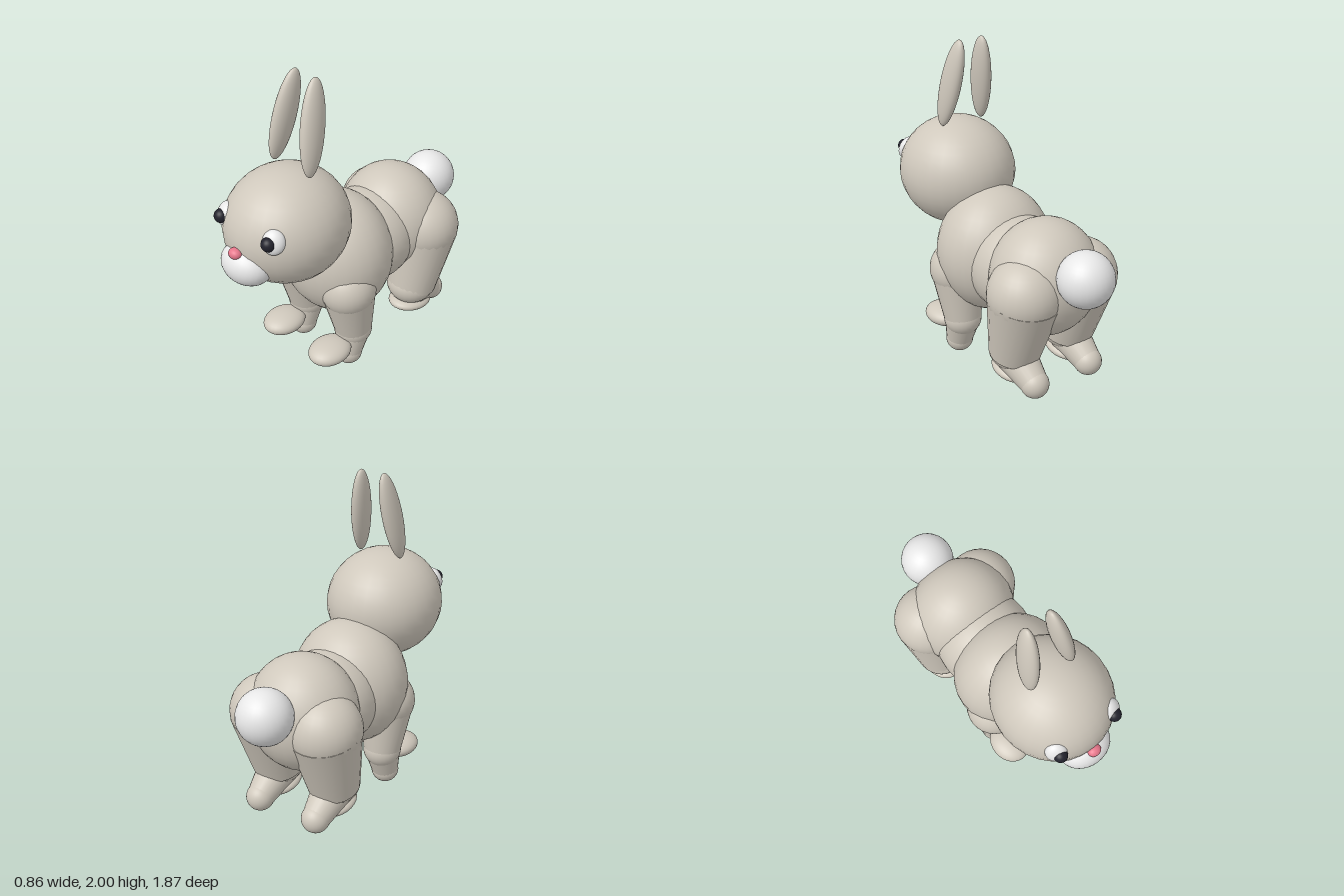
import * as THREE from 'three';

export function createModel() {
  const model = new THREE.Group();
  model.name = 'rabbit';

  const mat = (name, color) => {
    const m = new THREE.MeshStandardMaterial({ color });
    m.name = name;
    return m;
  };
  const fur = mat('greyFur', 0xcfc8bc);
  const white = mat('white', 0xeeeeee);
  const black = mat('black', 0x22222c);
  const pink = mat('pink', 0xe8788c);

  const ball = new THREE.SphereGeometry(1, 28, 20);
  const UP = new THREE.Vector3(0, 1, 0);

  // Ellipsoid from centre, radii and optional turn (yaw after pitch)
  function blob(name, material, pos, radii, rot = [0, 0, 0]) {
    const mesh = new THREE.Mesh(ball, material);
    mesh.name = name;
    mesh.position.set(...pos);
    mesh.scale.set(...radii);
    mesh.rotation.set(...rot, 'YXZ');
    model.add(mesh);
    return mesh;
  }

  // Tapered limb running from point a to point b
  function limb(name, a, ra, b, rb) {
    const start = new THREE.Vector3(...a);
    const end = new THREE.Vector3(...b);
    const dir = end.clone().sub(start);
    const mesh = new THREE.Mesh(new THREE.CylinderGeometry(rb, ra, dir.length(), 24), fur);
    mesh.name = name;
    mesh.position.copy(start).add(end).multiplyScalar(0.5);
    mesh.quaternion.setFromUnitVectors(UP, dir.normalize());
    model.add(mesh);
  }

  // Body
  blob('chest', fur, [0, 0.72, 0.1], [0.37, 0.4, 0.33]);
  blob('belly', fur, [0, 0.705, -0.16], [0.31, 0.305, 0.34]);
  blob('rump', fur, [0, 0.73, -0.4], [0.34, 0.36, 0.32]);
  blob('tail', white, [0, 0.865, -0.765], [0.167, 0.167, 0.167]);

  // Head
  blob('head', fur, [0, 1.12, 0.49], [0.36, 0.345, 0.38]);
  blob('muzzle', white, [0, 0.995, 0.8], [0.165, 0.125, 0.135], [-0.35, 0, 0]);
  blob('nose', pink, [0, 1.1, 0.88], [0.042, 0.032, 0.035]);

  for (const s of [1, -1]) {
    const side = s > 0 ? 'left' : 'right';
    const x = 0.205 * s;

    // Ears lean inwards and back
    const ear = blob(side + 'Ear', fur, [0.11 * s, 1.725, 0.38], [0.05, 0.282, 0.083]);
    ear.quaternion.setFromUnitVectors(UP, new THREE.Vector3(-0.065 * s, 0.55, -0.12).normalize());

    // Eyes
    blob(side + 'Eye', white, [0.2 * s, 1.22, 0.77], [0.065, 0.073, 0.045], [-0.4, 0.6 * s, 0]);
    blob(side + 'Pupil', black, [0.195 * s, 1.22, 0.805], [0.042, 0.042, 0.042]);

    // Front leg
    blob(side + 'Shoulder', fur, [x, 0.595, 0.205], [0.176, 0.176, 0.176]);
    limb(side + 'FrontLeg', [x, 0.6, 0.205], 0.174, [x, 0.27, 0.16], 0.12);
    blob(side + 'FrontAnkle', fur, [x, 0.26, 0.16], [0.12, 0.12, 0.12]);
    limb(side + 'FrontShin', [x, 0.26, 0.16], 0.115, [x, 0.09, 0.2], 0.085);
    blob(side + 'FrontHeel', fur, [x, 0.087, 0.2], [0.087, 0.087, 0.087]);
    blob(side + 'FrontPaw', fur, [x, 0.19, 0.365], [0.12, 0.065, 0.145]);

    // Back leg
    blob(side + 'Haunch', fur, [x, 0.715, -0.48], [0.225, 0.225, 0.225]);
    limb(side + 'BackLeg', [x, 0.7, -0.48], 0.224, [x, 0.28, -0.385], 0.157);
    blob(side + 'BackAnkle', fur, [x, 0.31, -0.385], [0.157, 0.14, 0.157]);
    limb(side + 'BackShin', [x, 0.26, -0.4], 0.125, [x, 0.155, -0.58], 0.085);
    blob(side + 'BackHeel', fur, [x, 0.155, -0.58], [0.087, 0.087, 0.087]);
    blob(side + 'BackPaw', fur, [x, 0.17, -0.38], [0.125, 0.05, 0.155], [-0.12, 0, 0]);
  }

  return model;
}
